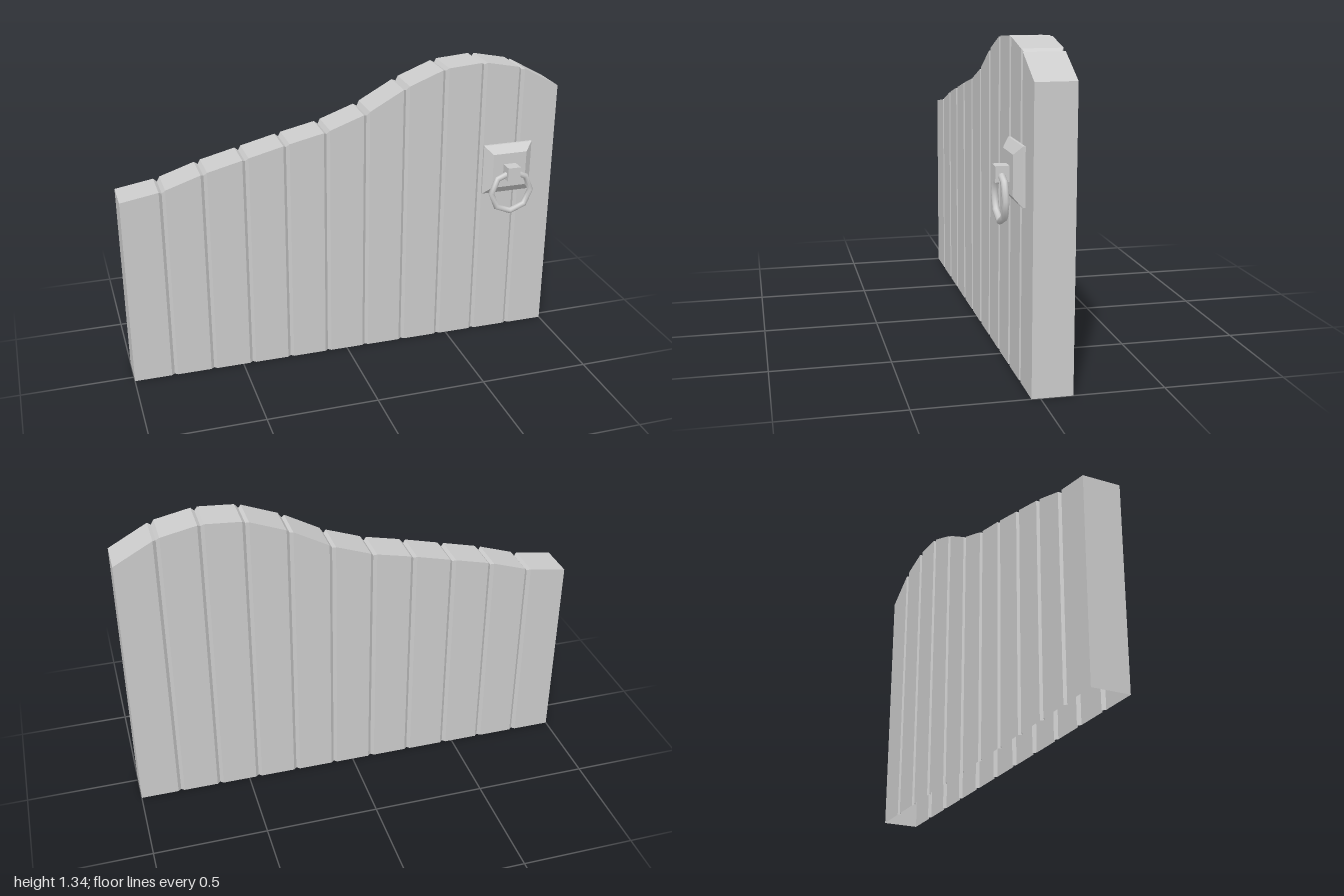
import * as THREE from 'three';

const PLANKS = 11, BACK = -0.13, FRONT = 0.035;
const GROOVE_HALF = 0.014, GROOVE_DEPTH = 0.012;
// top height at each plank boundary
const TOPS = [0.875, 0.905, 0.965, 1.01, 1.055, 1.095, 1.16, 1.26, 1.33, 1.343, 1.305, 1.205];

const boundaryX = i => -1 + (2 * i) / PLANKS;

function topAt(x) {
  const t = THREE.MathUtils.clamp(((x + 1) * PLANKS) / 2, 0, PLANKS);
  const i = Math.min(Math.floor(t), PLANKS - 1);
  return THREE.MathUtils.lerp(TOPS[i], TOPS[i + 1], t - i);
}

// Cross-section: up the front, over the top, down the back; inset in the grooves
function section(x, inset = 0) {
  const h = topAt(x) - inset;
  return [
    [x, 0, FRONT - inset], [x, h, FRONT - inset],
    [x, h, BACK + inset], [x, 0, BACK + inset],
  ];
}

// Plank shell with V grooves, open underneath
function plankGeometry() {
  const sections = [section(-1)];
  for (let i = 1; i < PLANKS; i++) {
    const x = boundaryX(i);
    sections.push(section(x - GROOVE_HALF), section(x, GROOVE_DEPTH), section(x + GROOVE_HALF));
  }
  sections.push(section(1));

  const pos = [];
  const quad = (a, b, c, d) => pos.push(...a, ...b, ...c, ...a, ...c, ...d);
  for (let s = 0; s < sections.length - 1; s++) {
    const l = sections[s], r = sections[s + 1];
    for (let k = 0; k < 3; k++) quad(l[k], r[k], r[k + 1], l[k + 1]);
  }
  const first = sections[0], last = sections[sections.length - 1];
  quad(first[0], first[1], first[2], first[3]);
  quad(last[3], last[2], last[1], last[0]);

  const g = new THREE.BufferGeometry();
  g.setAttribute('position', new THREE.Float32BufferAttribute(pos, 3));
  g.computeVertexNormals();
  return g;
}

// Square plate with a thin rim and bevelled front
function plateGeometry() {
  const g = new THREE.BoxGeometry(0.235, 0.235, 0.04, 1, 1, 2);
  const p = g.attributes.position;
  for (let i = 0; i < p.count; i++) {
    const z = p.getZ(i);
    if (z > 0.01) p.setXY(i, p.getX(i) * 0.69, p.getY(i) * 0.69);
    else if (z > -0.01) p.setZ(i, -0.01);
  }
  return g;
}

export function createModel() {
  const model = new THREE.Group();
  model.name = 'gate';
  const flat = new THREE.MeshStandardMaterial({ color: 0xcccccc, flatShading: true });
  const shell = new THREE.MeshStandardMaterial({ color: 0xcccccc, flatShading: true, side: THREE.DoubleSide });
  const smooth = new THREE.MeshStandardMaterial({ color: 0xcccccc });

  const add = (parent, name, geometry, material, x = 0, y = 0, z = 0) => {
    const mesh = new THREE.Mesh(geometry, material);
    mesh.name = name;
    mesh.position.set(x, y, z);
    parent.add(mesh);
    return mesh;
  };

  add(model, 'planks', plankGeometry(), shell);

  // Ring handle
  const handle = new THREE.Group();
  handle.name = 'handle';
  handle.position.x = 0.767;
  model.add(handle);
  add(handle, 'backPlate', plateGeometry(), flat, 0, 0.834, 0.055);
  add(handle, 'ringMount', new THREE.BoxGeometry(0.06, 0.064, 0.058), flat, 0, 0.832, 0.102);
  add(handle, 'pullRing', new THREE.TorusGeometry(0.097, 0.014, 10, 8), smooth, 0, 0.739, 0.105);
  return model;
}
